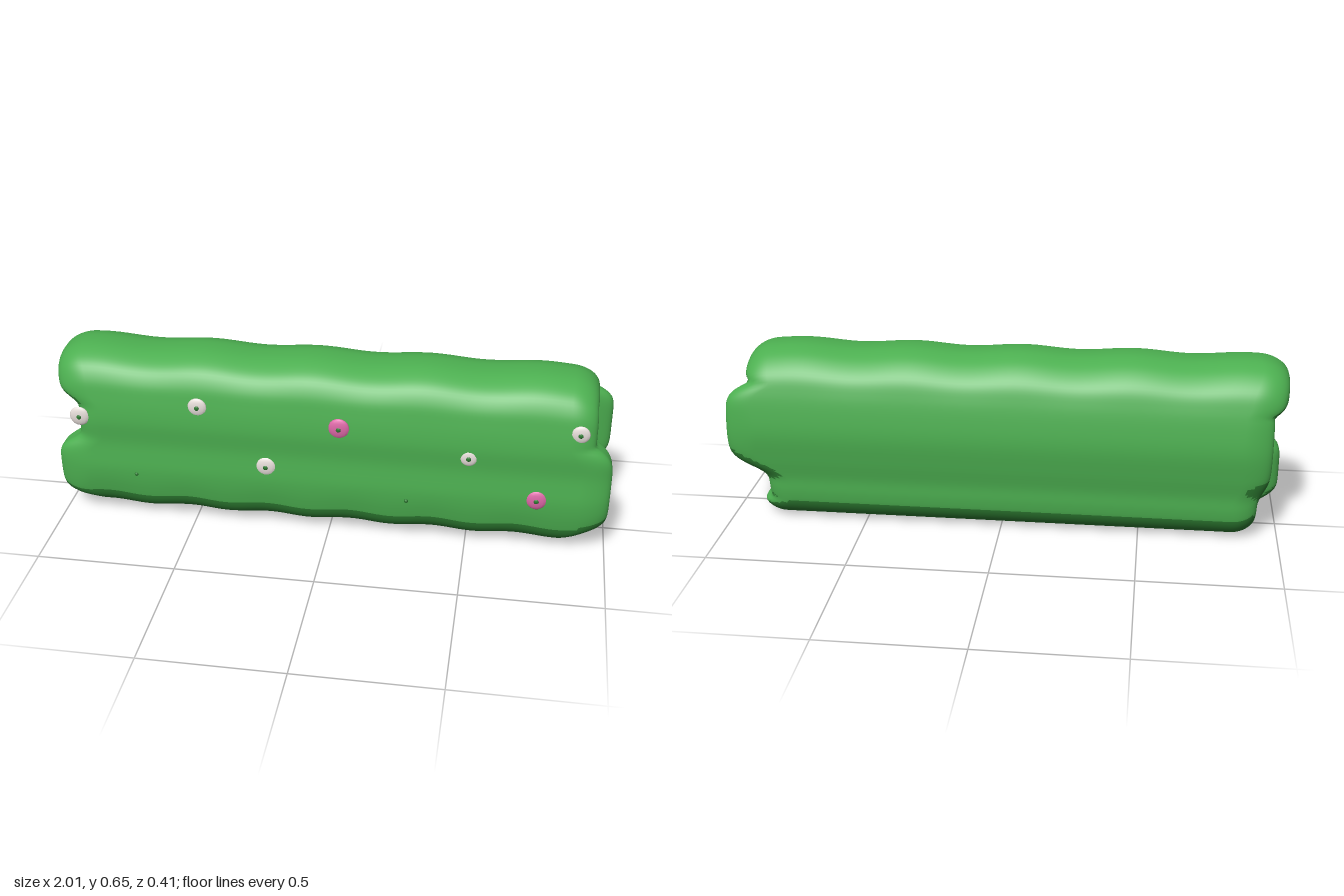
import * as THREE from 'three';

const leaf = new THREE.MeshStandardMaterial({ name: 'leafGreen', color: 0x4caf50 });
const shade = new THREE.MeshStandardMaterial({ name: 'deepGreen', color: 0x2e7d32 });
const white = new THREE.MeshStandardMaterial({ name: 'petalWhite', color: 0xebe2de });
const pink = new THREE.MeshStandardMaterial({ name: 'petalPink', color: 0xde68a8 });

// Cross-section of the hedge as [z, y], from the top over the front to the back
const PROFILE = [
  [0, 0.64], [0.07, 0.632], [0.14, 0.598], [0.172, 0.55], [0.186, 0.49], [0.196, 0.4],
  [0.192, 0.31], [0.198, 0.2], [0.19, 0.125], [0.175, 0.07], [0.148, 0.04], [0.09, 0.025],
  [0.05, 0.005], [0, 0], [-0.09, 0.003], [-0.14, 0.028], [-0.165, 0.065], [-0.174, 0.11],
  [-0.177, 0.17], [-0.19, 0.245], [-0.201, 0.34], [-0.196, 0.42], [-0.182, 0.5], [-0.16, 0.56],
  [-0.11, 0.608], [-0.05, 0.634],
];

// Each end is a recessed core with swollen lobes: [y, z, half height, half depth, swell]
const ENDS = {
  left: {
    base: 0.86,
    lobes: [[0.6, 0, 0.085, 0.3, 0.075], [0.24, 0.14, 0.2, 0.088, 0.14], [0.47, 0.15, 0.2, 0.095, 0.075],
      [0.365, -0.16, 0.165, 0.06, 0.14], [0.5, -0.17, 0.16, 0.06, 0.06], [0.02, -0.02, 0.05, 0.16, 0.04]],
  },
  right: {
    base: 0.92,
    lobes: [[0.565, 0, 0.1, 0.2, 0.09], [0.18, 0.13, 0.12, 0.08, 0.09],
      [0.36, -0.15, 0.18, 0.06, 0.04]],
  },
};
const ROUND = 0.09;

function endReach(end, y, z) {
  let swell = 0;
  for (const [y0, z0, h, d, s] of end.lobes) {
    swell = Math.max(swell, s * Math.exp(-(((y - y0) / h) ** 6) - ((z - z0) / d) ** 4));
  }
  return end.base + swell;
}

function hedgeGeometry() {
  const sides = 144, core = 32, bevel = 12, length = 80;
  const curve = new THREE.CatmullRomCurve3(
    PROFILE.map(([z, y]) => new THREE.Vector3(0, y, z)), true, 'centripetal');
  const ring = curve.getSpacedPoints(sides).slice(0, sides);

  // Inset and rounding of the rings of one end, from its middle to its rim
  const steps = [];
  for (let i = 0; i <= core; i++) steps.push([0.8 * i / core, 0]);
  for (let i = 1; i <= bevel; i++) {
    const a = (i / bevel) * Math.PI / 2;
    steps.push([0.8 + 0.2 * Math.sin(a), ROUND * (1 - Math.cos(a))]);
  }
  const endPoint = (p, [k, loss], side) => {
    const y = 0.33 + (p.y - 0.33) * k, z = p.z * k;
    const end = side > 0 ? ENDS.left : ENDS.right;
    return new THREE.Vector3(side * (endReach(end, y, z) - loss), y, z);
  };

  const rows = steps.map(s => ring.map(p => endPoint(p, s, -1)));
  const rimA = rows[rows.length - 1];
  const rimB = ring.map(p => endPoint(p, steps[steps.length - 1], 1));
  for (let i = 1; i < length; i++) rows.push(rimA.map((p, j) => p.clone().lerp(rimB[j], i / length)));
  for (const s of [...steps].reverse()) rows.push(ring.map(p => endPoint(p, s, 1)));

  // Gentle clipped-leaf waves along the top and the lower front
  const points = rows.flat();
  for (const p of points) {
    const up = THREE.MathUtils.smoothstep(p.y, 0.45, 0.64);
    const low = THREE.MathUtils.smoothstep(p.z, 0.08, 0.17) * (1 - THREE.MathUtils.smoothstep(p.y, 0.1, 0.25));
    p.y += up * 0.006 * Math.sin(15.7 * p.x + 2.6) + low * 0.006 * Math.sin(21 * p.x);
  }

  // Faces that look down take the deep green
  const lit = [], dark = [], n = new THREE.Vector3(), tri = new THREE.Triangle();
  const face = (a, b, c) => {
    tri.set(points[a], points[b], points[c]).getNormal(n);
    (n.y < -0.23 ? dark : lit).push(a, b, c);
  };
  for (let i = 0; i < rows.length - 1; i++) {
    for (let j = 0; j < sides; j++) {
      const a = i * sides + j, b = i * sides + (j + 1) % sides;
      if (i > 0) face(a, b, a + sides);
      if (i < rows.length - 2) face(b, b + sides, a + sides);
    }
  }
  const geometry = new THREE.BufferGeometry().setFromPoints(points);
  geometry.setIndex([...lit, ...dark]);
  geometry.addGroup(0, lit.length, 0);
  geometry.addGroup(lit.length, dark.length, 1);
  geometry.computeVertexNormals();
  return geometry;
}

// Small flat blossom with a dark middle
function blossom(x, y, z, petal, size = 0.037) {
  const group = new THREE.Group();
  group.name = 'blossom';
  const petals = new THREE.Mesh(new THREE.SphereGeometry(size, 14, 10), petal);
  petals.name = 'petals';
  petals.scale.z = 0.3;
  const middle = new THREE.Mesh(new THREE.SphereGeometry(0.009, 8, 6), shade);
  middle.name = 'blossomMiddle';
  middle.scale.z = 0.4;
  middle.position.z = size * 0.3;
  group.add(petals, middle);
  group.position.set(x, y, z);
  return group;
}

export function createModel() {
  const model = new THREE.Group();
  model.name = 'floweringHedge';

  const hedge = new THREE.Mesh(hedgeGeometry(), [leaf, shade]);
  hedge.name = 'hedge';
  model.add(hedge);

  const blossoms = [
    [-0.91, 0.41, 0.186, white], [-0.47, 0.482, 0.186, white, 0.035], [-0.225, 0.263, 0.191, white],
    [0.5, 0.363, 0.191, white, 0.031], [0.877, 0.485, 0.183, white, 0.033],
    [0.04, 0.441, 0.19, pink, 0.039], [0.745, 0.215, 0.194, pink],
  ];
  for (const b of blossoms) model.add(blossom(...b));

  // Buds barely showing through the leaves
  for (const [x, y] of [[-0.71, 0.19], [0.285, 0.17]]) {
    const bud = new THREE.Mesh(new THREE.SphereGeometry(0.008, 8, 6), shade);
    bud.name = 'bud';
    bud.position.set(x, y, 0.196);
    model.add(bud);
  }
  return model;
}
